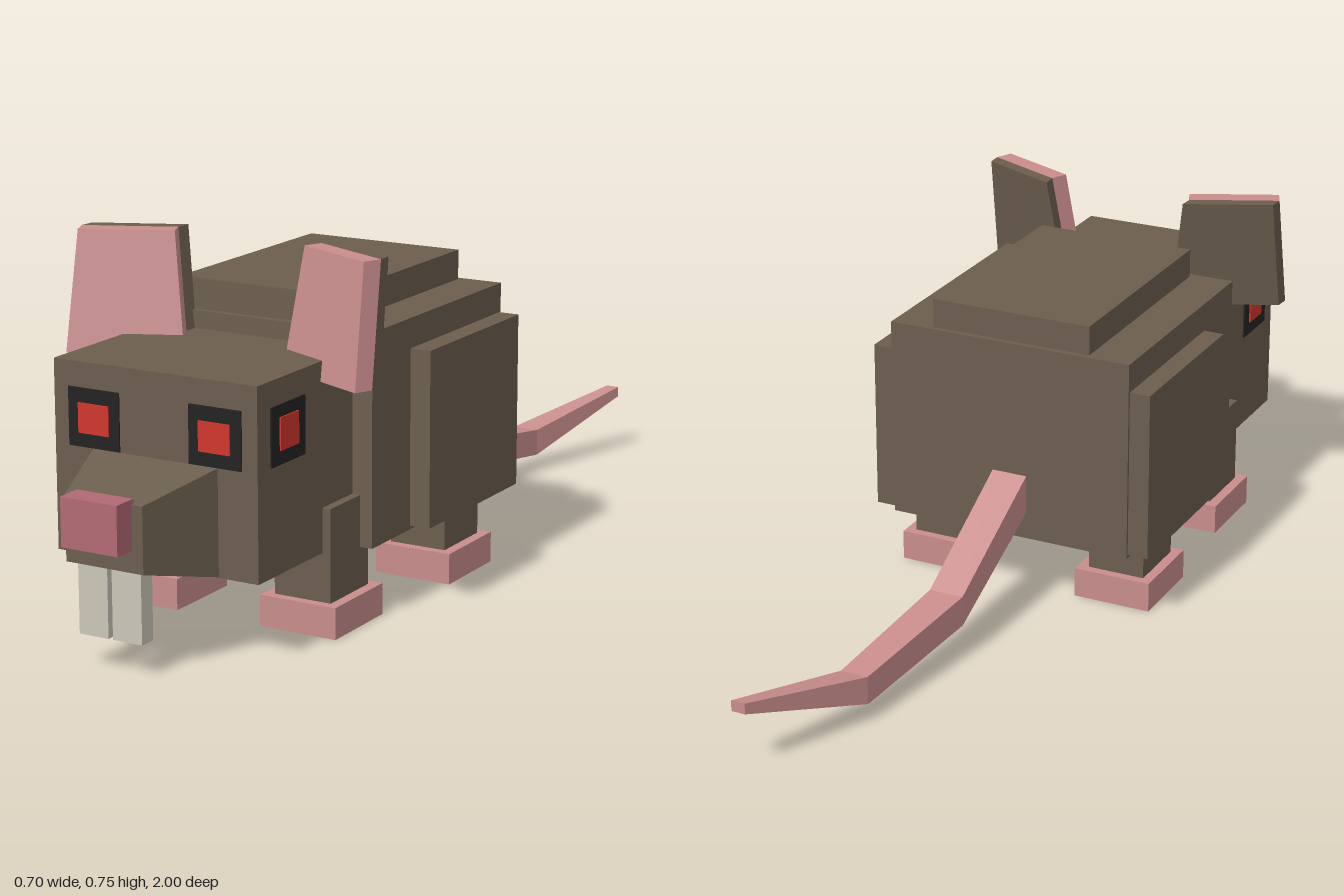
import * as THREE from 'three';

const mat = (name, color, side = THREE.FrontSide) => {
  const m = new THREE.MeshStandardMaterial({ color, side });
  m.name = name;
  return m;
};

export function createModel() {
  const fur = mat('brown fur', 0x6b5e4e);
  const skin = mat('pink skin', 0xc98d8d, THREE.DoubleSide);
  const noseRed = mat('nose pink', 0xb26974);
  const ivory = mat('ivory', 0xcac6b8);
  const black = mat('eye black', 0x222222);
  const red = mat('eye red', 0xd0362d);

  const root = new THREE.Group();
  root.name = 'rat';

  const add = (name, geometry, material) => {
    const mesh = new THREE.Mesh(geometry, material);
    mesh.name = name;
    root.add(mesh);
    return mesh;
  };

  // Box given by its limits on each axis
  const box = (name, material, [x0, x1], [y0, y1], [z0, z1]) => {
    const g = new THREE.BoxGeometry(x1 - x0, y1 - y0, z1 - z0);
    g.translate((x0 + x1) / 2, (y0 + y1) / 2, (z0 + z1) / 2);
    return add(name, g, material);
  };

  // Flat-sided solid through four-cornered rings, ordered front to back,
  // corners counter-clockwise as seen from the front
  const loft = (name, material, rings) => {
    const p = [];
    const quad = (a, b, c, d) => p.push(...a, ...b, ...c, ...a, ...c, ...d);
    quad(...rings[0]);
    for (let r = 0; r + 1 < rings.length; r++) {
      for (let i = 0; i < 4; i++) {
        const j = (i + 1) % 4, f = rings[r], b = rings[r + 1];
        quad(f[i], b[i], b[j], f[j]);
      }
    }
    quad(...[...rings.at(-1)].reverse());
    const g = new THREE.BufferGeometry();
    g.setAttribute('position', new THREE.Float32BufferAttribute(p, 3));
    g.computeVertexNormals();
    return add(name, g, material);
  };

  const rect = (x0, x1, y0, y1, z) => [[x0, y0, z], [x1, y0, z], [x1, y1, z], [x0, y1, z]];
  const span = (s, a, b) => (s > 0 ? [a, b] : [-b, -a]);

  // Torso and head
  box('body', fur, [-0.275, 0.275], [0.15, 0.587], [-0.112, 0.43]);
  box('backHump', fur, [-0.18, 0.18], [0.58, 0.65], [-0.1, 0.415]);
  box('head', fur, [-0.23, 0.23], [0.166, 0.55], [0.42, 0.78]);
  loft('snout', fur, [
    rect(-0.087, 0.087, 0.21, 0.342, 0.952),
    rect(-0.143, 0.143, 0.166, 0.382, 0.775),
  ]);
  box('nose', noseRed, [-0.063, 0.063], [0.254, 0.352], [0.945, 1]);

  // Paw: box without its underside
  const paw = (name, x, z) => {
    const mesh = box(name, skin, x, [0, 0.065], z);
    const index = Array.from(mesh.geometry.index.array);
    index.splice(18, 6);
    mesh.geometry.setIndex(index);
    mesh.geometry.clearGroups();
  };

  for (const s of [1, -1]) {
    const side = s > 0 ? 'left' : 'right';

    box(side + 'Haunch', fur, span(s, 0.26, 0.32), [0.158, 0.525], [-0.106, 0.277]);
    box(side + 'FrontLeg', fur, span(s, 0.12, 0.248), [0.06, 0.257], [0.4, 0.545]);
    box(side + 'BackLeg', fur, span(s, 0.146, 0.273), [0.06, 0.2], [-0.02, 0.125]);
    paw(side + 'FrontPaw', span(s, 0.098, 0.27), [0.38, 0.565]);
    paw(side + 'BackPaw', span(s, 0.122, 0.295), [-0.04, 0.145]);
    box(side + 'Tooth', ivory, span(s, 0.005, 0.071), [0.066, 0.21], [0.9, 0.937]);

    // Eyes on the face and on the cheek
    box(side + 'FrontEye', black, span(s, 0.079, 0.196), [0.382, 0.499], [0.778, 0.783]);
    box(side + 'FrontPupil', red, span(s, 0.102, 0.172), [0.41, 0.47], [0.78, 0.786]);
    box(side + 'SideEye', black, span(s, 0.228, 0.233), [0.382, 0.499], [0.612, 0.735]);
    box(side + 'SidePupil', red, span(s, 0.23, 0.236), [0.41, 0.475], [0.64, 0.706]);

    // Ear: pink plate in front of a fur plate
    const front = [
      [0.115, 0.51, 0.5], [0.333, 0.51, 0.597], [0.328, 0.755, 0.555], [0.15, 0.755, 0.475],
    ];
    const shift = (ring, dx, dz) => ring.map(([x, y, z]) => [x + dx, y, z + dz]);
    const mirror = (ring) => (s > 0 ? ring : ring.map(([x, y, z]) => [-x, y, z]).reverse());
    const middle = shift(front, 0.016, -0.037);
    const back = shift(middle, -0.002, -0.033);
    loft(side + 'InnerEar', skin, [mirror(front), mirror(middle)]);
    loft(side + 'OuterEar', fur, [mirror(middle), mirror(back)]);
  }

  // Tail, tapering and bending upward at the tip
  loft('tail', skin, [
    rect(-0.042, 0.037, 0.215, 0.3, -0.1),
    rect(-0.04, 0.035, 0.075, 0.14, -0.4),
    rect(0.003, 0.063, 0.04, 0.1, -0.72),
    rect(0.11, 0.14, 0.13, 0.153, -1),
  ]);

  return root;
}
